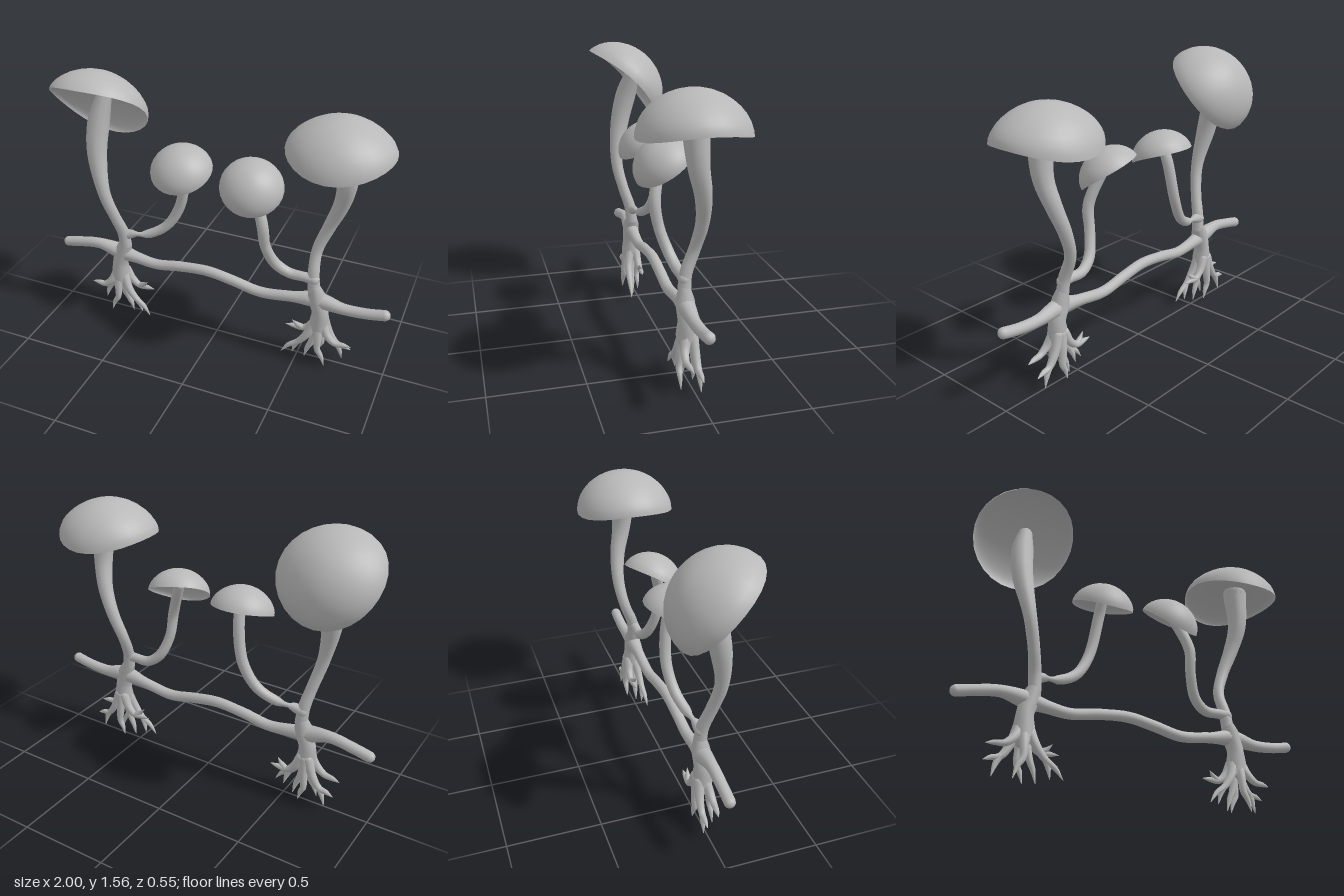
import * as THREE from 'three';
import { mergeVertices } from 'three/addons/utils/BufferGeometryUtils.js';

const clay = new THREE.MeshStandardMaterial({ color: 0xb8b8b8, side: THREE.DoubleSide });
clay.name = 'pale grey';

function add(parent, name, geometry) {
  const mesh = new THREE.Mesh(geometry, clay);
  mesh.name = name;
  parent.add(mesh);
  return mesh;
}

// Smooth limb through points [x, y, z, radius], with rounded ends
function limb(parent, name, pts, segments = 28, sides = 12) {
  const curve = new THREE.CatmullRomCurve3(pts.map(p => new THREE.Vector3(p[0], p[1], p[2])));
  const radii = new THREE.CatmullRomCurve3(pts.map(p => new THREE.Vector3(p[3], 0, 0)));
  const geo = new THREE.TubeGeometry(curve, segments, 1, sides);
  const pos = geo.attributes.position;
  const v = new THREE.Vector3();
  for (let i = 0; i <= segments; i++) {
    const t = curve.getUtoTmapping(i / segments);
    const centre = curve.getPoint(t);
    const r = Math.max(0.002, radii.getPoint(t).x);
    for (let j = 0; j <= sides; j++) {
      const k = i * (sides + 1) + j;
      v.fromBufferAttribute(pos, k).sub(centre).multiplyScalar(r).add(centre);
      pos.setXYZ(k, v.x, v.y, v.z);
    }
  }
  const group = new THREE.Group();
  group.name = name;
  parent.add(group);
  add(group, name + 'Body', geo);
  for (const p of [pts[0], pts[pts.length - 1]]) {
    add(group, name + 'End', new THREE.SphereGeometry(p[3], sides, 8)).position.set(p[0], p[1], p[2]);
  }
}

// Lathed cap surface whose rim rises gently on the two x sides
const CAP_RADIUS = 0.275, CAP_HEIGHT = 0.225;
function capSurface(profile, lift) {
  let geo = new THREE.LatheGeometry(profile, 28);
  const pos = geo.attributes.position;
  for (let i = 0; i < pos.count; i++) {
    const y = pos.getY(i);
    pos.setY(i, y + lift * (pos.getX(i) / CAP_RADIUS) ** 2 * (1 - y / CAP_HEIGHT));
  }
  geo.deleteAttribute('uv');
  geo.deleteAttribute('normal');
  geo = mergeVertices(geo, 1e-5);
  geo.computeVertexNormals();
  return geo;
}

// Rounded profile from the rim (0) to the centre (1)
const arc = (height, power) => Array.from({ length: 10 }, (_, i) => {
  const a = (i / 9) * Math.PI / 2;
  return new THREE.Vector2(i === 9 ? 0 : CAP_RADIUS * Math.cos(a), height * Math.sin(a) ** power);
});
const domeProfile = arc(CAP_HEIGHT, 1.1);
const underProfile = arc(0.105, 1.2).reverse();

function cap(parent, name, position, up, width, height, lift) {
  const group = new THREE.Group();
  group.name = name;
  add(group, name + 'Dome', capSurface(domeProfile, lift));
  add(group, name + 'Underside', capSurface(underProfile, lift));
  group.scale.set(width, height, width);
  group.position.set(...position);
  group.quaternion.setFromUnitVectors(new THREE.Vector3(0, 1, 0), new THREE.Vector3(...up).normalize());
  parent.add(group);
}

// Roots relative to the trunk, x towards the middle: bend, tip and an optional fork tip
const roots = [
  { bend: [-0.1, 0.175, 0.045], tip: [-0.19, 0.165, 0.035] },
  { bend: [-0.1, 0.125, -0.018], tip: [-0.18, 0.1, -0.02], fork: [-0.135, 0.025, -0.022] },
  { bend: [-0.01, 0.11, 0.057], tip: [-0.055, 0.005, 0.058] },
  { bend: [0.04, 0.11, 0.02], tip: [0.073, 0.005, 0.018] },
  { bend: [0.11, 0.12, 0.047], tip: [0.2, 0.03, 0.055], fork: [0.14, 0.03, 0.035] },
  { bend: [0.1, 0.175, -0.02], tip: [0.2, 0.175, -0.015], fork: [0.16, 0.22, -0.005] },
  { bend: [-0.01, 0.1, -0.025], tip: [0.02, 0.01, -0.025] },
];

// Tapering tip that leaves a bend and curves outwards before reaching its end
function tipPath([x, y, z], [tx, ty, tz]) {
  return [[x, y, z, 0.018], [x + (tx - x) * 0.55, y + (ty - y) * 0.4, (z + tz) / 2, 0.014], [tx, ty, tz, 0.002]];
}

export function createModel() {
  const model = new THREE.Group();
  model.name = 'mushroomCluster';

  // Creeping runner, swollen where it meets each trunk
  const runner = [[-0.97, 0.405], [-0.88, 0.425], [-0.75, 0.445], [-0.62, 0.425], [-0.5, 0.405],
    [-0.38, 0.392], [-0.22, 0.418], [-0.05, 0.432], [0.1, 0.41], [0.27, 0.378], [0.45, 0.4],
    [0.6, 0.42], [0.75, 0.4], [0.88, 0.408], [0.97, 0.425]];
  limb(model, 'runner', runner.map(([x, y]) =>
    [x, y, 0.016, 0.03 + 0.016 * Math.exp(-(((Math.abs(x) - 0.61) / 0.09) ** 2))]), 72);

  // Trunks and roots, mirrored about the middle
  for (const [side, label] of [[-1, 'right'], [1, 'left']]) {
    const place = p => [side * (0.62 - p[0]), p[1], p[2], p[3]];
    limb(model, label + 'Trunk', [[0.045, 0.5, 0.016, 0.033], [0.025, 0.43, 0.016, 0.05],
      [0.002, 0.35, 0.016, 0.046], [0, 0.27, 0.016, 0.055], [0, 0.21, 0.016, 0.042]].map(place), 24);
    roots.forEach(({ bend, tip, fork }, i) => {
      const [x, y, z] = bend;
      const path = [[x * 0.2, 0.28, z * 0.5, 0.03], [x * 0.55, (0.25 + y) / 2, z * 0.9, 0.023], ...tipPath(bend, tip)];
      limb(model, `${label}Root${i + 1}`, path.map(place), 18, 8);
      if (fork) limb(model, `${label}RootFork${i + 1}`, tipPath(bend, fork).map(place), 12, 8);
    });
  }

  // Tall stems
  limb(model, 'rightTallStem', [[-0.575, 0.48, 0.016, 0.035], [-0.582, 0.57, 0.025, 0.034], [-0.605, 0.68, 0.058, 0.032],
    [-0.648, 0.85, 0.09, 0.035], [-0.69, 1.08, 0.06, 0.055],
    [-0.69, 1.24, 0.022, 0.061], [-0.667, 1.4, -0.025, 0.042]]);
  limb(model, 'leftTallStem', [[0.575, 0.48, 0.016, 0.035], [0.565, 0.57, 0.008, 0.033], [0.562, 0.7, -0.038, 0.031],
    [0.612, 0.85, -0.06, 0.035], [0.667, 1.0, -0.045, 0.043], [0.697, 1.15, -0.01, 0.053],
    [0.685, 1.37, 0.005, 0.07]]);

  // Short stems
  limb(model, 'rightShortStem', [[-0.58, 0.55, 0.016, 0.033], [-0.53, 0.562, 0.01, 0.027], [-0.44, 0.575, -0.005, 0.027],
    [-0.33, 0.64, -0.035, 0.029], [-0.25, 0.78, -0.055, 0.03], [-0.21, 1.0, -0.035, 0.031], [-0.205, 1.1, 0, 0.03]]);
  limb(model, 'leftShortStem', [[0.57, 0.55, 0.016, 0.033], [0.52, 0.552, 0.016, 0.027], [0.43, 0.555, 0.016, 0.029],
    [0.355, 0.61, 0.035, 0.03], [0.308, 0.73, 0.073, 0.029], [0.293, 0.87, 0.092, 0.031],
    [0.215, 1.08, 0.04, 0.03]]);

  // Caps
  cap(model, 'rightTallCap', [-0.682, 1.32, 0.045], [0, 0.69, -0.72], 1, 1, 0.05);
  cap(model, 'leftTallCap', [0.652, 1.28, 0], [0, 1, 0], 1, 1, 0.055);
  cap(model, 'rightShortCap', [-0.205, 1.042, 0.003], [0, 0.93, 0.36], 0.62, 0.63, 0.02);
  cap(model, 'leftShortCap', [0.203, 1.037, 0.02], [0.27, 1, 0.66], 0.62, 0.63, 0.02);
  return model;
}
